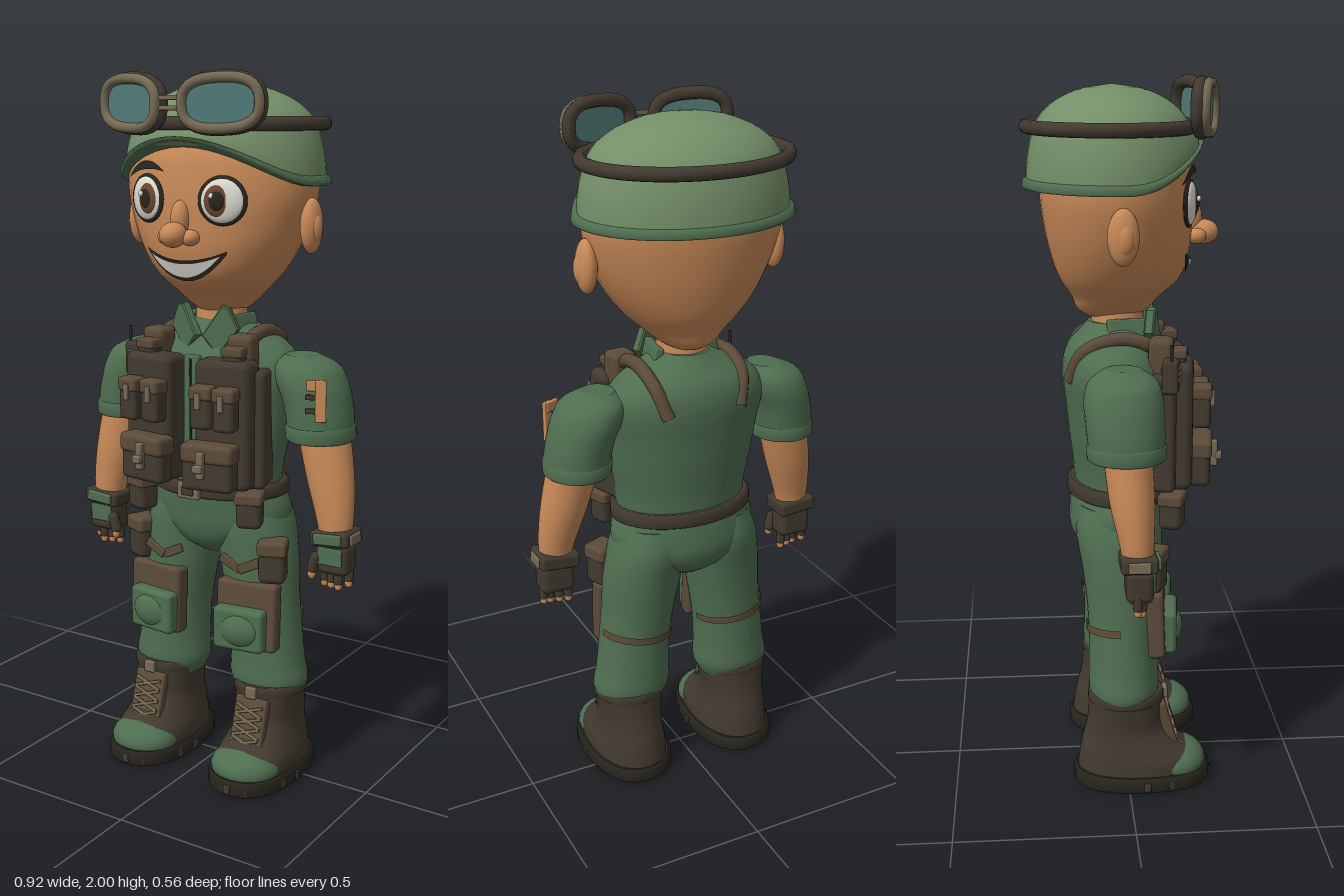
import * as THREE from 'three';
import { RoundedBoxGeometry } from 'three/addons/geometries/RoundedBoxGeometry.js';

const mat = (name, color) => Object.assign(new THREE.MeshStandardMaterial({ color }), { name });

export function createModel() {
  const model = new THREE.Group();
  model.name = 'fieldSoldier';
  const green = mat('uniformGreen', 0x4f6e50), helmetGreen = mat('helmetGreen', 0x748f68);
  const skin = mat('skin', 0xc98a58), dark = mat('darkLeather', 0x423a30), brown = mat('webbingBrown', 0x5c4b39);
  const tan = mat('tanTrim', 0x766a54), teal = mat('lensTeal', 0x517b78), white = mat('white', 0xdcdad0);
  const black = mat('black', 0x29251f), iris = mat('irisBrown', 0x6b4630);
  dark.side = brown.side = helmetGreen.side = green.side = THREE.DoubleSide;

  const add = (name, geo, m, x = 0, y = 0, z = 0, parent = model) => {
    const mesh = new THREE.Mesh(geo, m);
    mesh.name = name;
    mesh.position.set(x, y, z);
    parent.add(mesh);
    return mesh;
  };
  const box = (name, m, w, h, d, x, y, z, ry = 0, rz = 0) => {
    const b = add(name, new RoundedBoxGeometry(w, h, d, 2, Math.min(w, h, d) * 0.25), m, x, y, z);
    b.rotation.set(0, ry, rz);
    return b;
  };
  const ball = (name, m, x, y, z, rx, ry, rz, yaw = 0) => {
    const b = add(name, new THREE.SphereGeometry(1, 24, 16), m, x, y, z);
    b.scale.set(rx, ry, rz);
    b.rotation.y = yaw;
    return b;
  };
  const both = (fn) => [1, -1].forEach(fn);

  // Cross-sections are [y, cx, cz, rx, rz], listed from bottom to top
  const sampler = (rings) => {
    const f = new THREE.CubicInterpolant(new Float32Array(rings.map(r => r[0])),
      new Float32Array(rings.flatMap(r => r.slice(1))), 4, new Float32Array(4));
    return (y) => [y, ...f.evaluate(y)];
  };
  const loft = (rings, sub = 4, seg = 36, power = 1) => {
    const at = sampler(rings), list = [], pos = [], idx = [];
    rings.forEach((r, i) => {
      if (i === rings.length - 1) return list.push(r);
      for (let k = 0; k < sub; k++) list.push(k ? at(r[0] + (rings[i + 1][0] - r[0]) * k / sub) : r);
    });
    const bend = (v) => Math.sign(v) * Math.abs(v) ** power;
    const ring = ([y, cx, cz, rx, rz]) => {
      for (let j = 0; j < seg; j++) {
        const a = j / seg * Math.PI * 2;
        pos.push(cx + rx * bend(Math.cos(a)), y, cz + rz * bend(Math.sin(a)));
      }
    };
    list.forEach(ring);
    for (let i = 0; i < list.length - 1; i++) for (let j = 0; j < seg; j++) {
      const a = i * seg + j, b = i * seg + (j + 1) % seg;
      idx.push(a, a + seg, b, b, a + seg, b + seg);
    }
    [list[0], list[list.length - 1]].forEach((r, top) => {
      const base = pos.length / 3;
      ring(r);
      pos.push(r[1], r[0], r[2]);
      for (let j = 0; j < seg; j++) {
        const a = base + j, b = base + (j + 1) % seg;
        idx.push(base + seg, top ? b : a, top ? a : b);
      }
    });
    const g = new THREE.BufferGeometry();
    g.setAttribute('position', new THREE.Float32BufferAttribute(pos, 3));
    g.setIndex(idx);
    g.computeVertexNormals();
    return g;
  };

  // Head, neck and ears
  const headRings = [[1.345, 0, -.03, .05, .07], [1.36, 0, -.03, .075, .095], [1.4, 0, -.02, .122, .125],
    [1.45, 0, -.01, .175, .168], [1.52, 0, -.01, .225, .193], [1.6, 0, -.015, .262, .205],
    [1.7, 0, -.02, .285, .21], [1.8, 0, -.02, .265, .195], [1.88, 0, -.02, .19, .14]];
  add('head', loft(headRings), skin);
  const headAt = sampler(headRings);
  const faceZ = (x, y) => {
    const [, , cz, rx, rz] = headAt(y);
    return cz + rz * Math.sqrt(Math.max(0, 1 - (x / rx) ** 2));
  };
  add('neck', new THREE.CylinderGeometry(.07, .08, .14, 24), skin, 0, 1.32, -.015);
  both(s => {
    ball('ear', skin, s * .283, 1.595, -.02, .028, .075, .042);
    ball('earInner', skin, s * .3, 1.59, -.015, .016, .04, .022);
  });

  // Eyes, stacked outwards from the face
  both(s => {
    const yaw = s * .3, x = s * .12, y = 1.665, z = faceZ(x, y);
    [['eyeRim', black, .068, .066, .012, 0], ['eyeWhite', white, .061, .06, .02, 0], ['iris', iris, .04, .044, .012, .012],
      ['pupil', black, .024, .028, .01, .018], ['eyeGlint', white, .008, .008, .006, .025]].forEach(([n, m, rx, ry, rz, out], i) => {
      const glint = i === 4 ? .013 : 0;
      ball(n, m, x - s * (i > 1 ? .006 : 0) - glint, y + glint, z + out - .002, rx, ry, rz, yaw);
    });
  });

  // Nose, brow and smile
  ball('noseTip', skin, 0, 1.575, .225, .036, .034, .042);
  ball('noseBridge', skin, 0, 1.615, .19, .026, .05, .03);
  both(s => ball('nostril', skin, s * .037, 1.567, .2, .025, .022, .028));
  const faceStrip = (name, m, x0, x1, top, bottom, out) => {
    const pos = [], idx = [], n = 24;
    for (let i = 0; i <= n; i++) {
      const u = i / n * 2 - 1, x = x0 + (x1 - x0) * i / n;
      [bottom(u), top(u)].forEach(y => pos.push(x, y, faceZ(x, y) + out));
      if (i < n) idx.push(2 * i, 2 * i + 2, 2 * i + 1, 2 * i + 1, 2 * i + 2, 2 * i + 3);
    }
    const g = new THREE.BufferGeometry();
    g.setAttribute('position', new THREE.Float32BufferAttribute(pos, 3));
    g.setIndex(idx);
    g.computeVertexNormals();
    add(name, g, m);
  };
  const arc = (u) => 1 - u * u;
  faceStrip('eyebrow', black, -.2, -.05, u => 1.73 + .035 * arc(u) + .01 * u, u => 1.728 + .014 * arc(u) + .01 * u, .012);
  faceStrip('mouthLine', black, -.128, .128, u => 1.532 - .028 * arc(u), u => 1.526 - .08 * arc(u), .008);
  faceStrip('teeth', white, -.112, .112, u => 1.52 - .024 * arc(u), u => 1.518 - .062 * arc(u), .013);

  // Helmet, with its lower edge raised over the brow
  const raise = (g) => {
    const p = g.attributes.position;
    for (let i = 0; i < p.count; i++) {
      const y = p.getY(i), lift = .1 * (Math.max(0, p.getZ(i)) / .2) ** 2;
      if (y < 1.87) p.setY(i, y + lift * (1.87 - y) / .16);
    }
    g.computeVertexNormals();
    return g;
  };
  const helmetRing = (y, k) => [y, 0, -.03, .295 * k, .237 * k];
  add('helmet', raise(loft([[1.71, 1.0], [1.76, .99], [1.82, .95], [1.87, .885], [1.91, .76], [1.945, .54], [1.965, .29], [1.973, .04]]
    .map(([y, k]) => helmetRing(y, k)), 3, 48)), helmetGreen);
  add('helmetHem', raise(loft([[1.7, 1.03], [1.705, 1.055], [1.722, 1.04], [1.727, 1.0]].map(([y, k]) => helmetRing(y, k)), 1, 48)), green);
  const ringCurve = new THREE.CatmullRomCurve3(Array.from({ length: 24 }, (_, i) => {
    const a = i / 24 * Math.PI * 2;
    return new THREE.Vector3(.285 * Math.cos(a), 1.863, -.037 + .228 * Math.sin(a));
  }), true);
  add('goggleStrap', new THREE.TubeGeometry(ringCurve, 72, .019, 10, true), dark);

  // Goggles resting on the helmet
  const oval = Array.from({ length: 24 }, (_, i) => {
    const a = i / 24 * Math.PI * 2, f = (v) => Math.sign(v) * Math.abs(v) ** .75;
    return new THREE.Vector3(.105 * f(Math.cos(a)), .064 * f(Math.sin(a)), 0);
  });
  const ovalCurve = new THREE.CatmullRomCurve3(oval, true);
  const lensShape = new THREE.Shape(oval.map(p => new THREE.Vector2(p.x, p.y)));
  both(s => {
    const g = new THREE.Group();
    g.name = 'goggleEyepiece';
    g.position.set(s * .14, 1.914, .208);
    g.rotation.set(0, s * .25, s * .04);
    model.add(g);
    add('goggleFrame', new THREE.TubeGeometry(ovalCurve, 48, .018, 8, true), dark, 0, 0, -.01, g);
    add('goggleRim', new THREE.TubeGeometry(ovalCurve, 48, .014, 8, true), tan, 0, 0, .01, g);
    add('goggleLens', new THREE.ExtrudeGeometry(lensShape, { depth: .008, bevelEnabled: false }), teal, 0, 0, 0, g);
  });
  both(s => box('goggleBridge', tan, .06, .012, .014, 0, 1.915 + s * .013, .24));

  // Shirt, collar and front placket
  add('shirt', loft([[.84, 0, 0, .195, .14], [.92, 0, -.005, .2, .14], [1.0, 0, -.01, .215, .145], [1.1, 0, -.015, .23, .15],
    [1.2, 0, -.025, .242, .148], [1.26, 0, -.03, .2, .128], [1.3, 0, -.025, .125, .1], [1.33, 0, -.02, .075, .08]]), green);
  box('placket', green, .05, .36, .02, 0, 1.06, .135);
  box('placketSeam', black, .006, .34, .008, 0, 1.06, .145);
  both(s => {
    const flap = new THREE.Shape([[.008, 1.29], [.05, 1.24], [.105, 1.31], [.08, 1.365], [.062, 1.37]].map(p => new THREE.Vector2(s * p[0], p[1])));
    const c = add('collar', new THREE.ExtrudeGeometry(flap, { depth: .02, bevelSize: .004, bevelThickness: .004, bevelSegments: 1 }), green, 0, 0, .085);
    c.rotation.y = s * .3;
    box('collarSide', green, .025, .06, .12, s * .08, 1.315, .01, s * -.15, s * .25);
  });

  // Arms, gloves and fingers
  both(s => {
    add('sleeve', loft([[1.02, s * .325, -.015, .09, .1], [1.06, s * .324, -.015, .092, .103], [1.12, s * .312, -.018, .094, .106],
      [1.18, s * .29, -.02, .098, .105], [1.22, s * .275, -.02, .085, .088], [1.245, s * .26, -.02, .045, .05]]), green);
    add('sleeveCuff', loft([[1.014, s * .326, -.014, .09, .1], [1.02, s * .326, -.014, .096, .106],
      [1.052, s * .324, -.014, .096, .107], [1.058, s * .324, -.014, .09, .1]], 1), green);
    add('forearm', loft([[.74, s * .392, .012, .044, .04], [.8, s * .386, .008, .054, .047], [.9, s * .366, -.002, .068, .06],
      [1.03, s * .337, -.012, .076, .066]]), skin);
    box('gloveCuff', dark, .118, .045, .1, s * .392, .75, .012, 0, s * .08);
    box('gloveStrap', green, .085, .03, .018, s * .392, .752, .062, 0, s * .08);
    box('gloveStrap', tan, .018, .03, .06, s * .448, .752, .012, 0, s * .08);
    box('glovePalm', dark, .1, .09, .075, s * .394, .69, .014);
    box('gloveBack', green, .075, .05, .012, s * .394, .7, .05);
    for (let i = 0; i < 4; i++) {
      const x = s * (.358 + i * .025), z = .008 + (i % 3) * .007, y = .64 + (i === 3 ? .01 : 0);
      add('gloveFinger', new THREE.CapsuleGeometry(.0135, .035, 4, 10), dark, x, y, z);
      add('fingertip', new THREE.CapsuleGeometry(.011, .02, 4, 10), skin, x, y - .023, z);
    }
    const thumb = add('gloveThumb', new THREE.CapsuleGeometry(.016, .035, 4, 10), dark, s * .345, .675, .05);
    thumb.rotation.z = s * -.25;
    ball('thumbTip', skin, s * .34, .645, .052, .012, .018, .012);
  });

  // Patch on the left sleeve
  box('sleevePatch', skin, .03, .115, .012, .372, 1.14, .077, .5);
  box('sleevePatch', skin, .05, .03, .012, .358, 1.182, .08, .5);
  [1.15, 1.112].forEach(y => box('sleevePatchTab', dark, .028, .014, .01, .347, y, .088, .4));

  // Vest with pouches, straps and radio
  both(s => {
    const yaw = s * .14;
    box('vestPanel', dark, .165, .36, .09, s * .118, 1.06, .143, yaw);
    box('vestSide', dark, .06, .33, .12, s * .18, 1.045, .075, s * .3);
    box('vestTop', brown, .075, .11, .07, s * .14, 1.25, .095, yaw);
    box('topPouch', dark, .06, .075, .05, s * .14, 1.23, .14, yaw);
    box('topPouchFlap', brown, .064, .028, .054, s * .14, 1.262, .14, yaw);
    [.082, .155].forEach(x => {
      box('magazinePouch', dark, .062, .115, .05, s * x, 1.112, .208, yaw);
      box('magazineFlap', brown, .066, .04, .056, s * x, 1.155, .208, yaw);
      box('magazineTab', tan, .016, .045, .012, s * x, 1.135, .238, yaw);
    });
    box('largePouch', dark, .15, .12, .06, s * .105, .945, .21, yaw);
    box('largePouchFlap', brown, .156, .055, .07, s * .105, .99, .21, yaw);
    box('largePouchTab', tan, .022, .075, .02, s * .1, .962, .252, yaw);
    box('pouchBuckle', tan, .028, .022, .02, s * .1, .955, .264, yaw);
    const strap = new THREE.CatmullRomCurve3([[.14, 1.2, .12], [.14, 1.27, .08], [.14, 1.3, -.01], [.135, 1.265, -.115], [.11, 1.18, -.155]]
      .map(p => new THREE.Vector3(s * p[0], p[1], p[2])));
    add('shoulderStrap', new THREE.TubeGeometry(strap, 24, .02, 8), brown);
  });
  box('radio', dark, .06, .095, .045, -.205, 1.21, .115, -.2);
  for (let i = 0; i < 3; i++) box('radioGrille', tan, .038, .006, .008, -.207, 1.2 + i * .016, .139, -.2);
  add('radioAntenna', new THREE.CylinderGeometry(.004, .005, .08, 8), black, -.226, 1.26, .115);

  // Belt and hip pouches
  add('belt', loft([[.832, 0, -.005, .205, .147], [.838, 0, -.005, .215, .156], [.87, 0, -.005, .215, .156], [.876, 0, -.005, .205, .147]], 1), dark);
  box('buckle', tan, .07, .046, .02, 0, .855, .156);
  box('bucklePlate', dark, .04, .024, .01, 0, .855, .165);
  both(s => {
    box('hipPouch', dark, .072, .09, .065, s * .182, .815, .125, s * .35);
    box('hipPouchFlap', brown, .078, .035, .07, s * .182, .855, .125, s * .35);
  });

  // Trousers
  add('hips', loft([[.65, 0, -.02, .06, .07], [.68, 0, -.02, .13, .11], [.73, 0, -.02, .205, .135], [.79, 0, -.015, .222, .14], [.86, 0, -.005, .198, .14]]), green);
  both(s => {
    add('trouserLeg', loft([[.24, s * .172, -.01, .1, .085], [.28, s * .17, -.01, .117, .1], [.34, s * .165, -.01, .112, .1],
      [.45, s * .156, -.01, .108, .1], [.55, s * .143, -.01, .111, .105], [.65, s * .13, -.015, .117, .113],
      [.75, s * .116, -.02, .112, .122], [.82, s * .11, -.02, .09, .108]]), green);
    box('thighPouch', dark, .078, .12, .075, s * .222, .66, .065, s * .4);
    box('thighPouchFlap', brown, .084, .045, .08, s * .222, .703, .066, s * .4);
    [-1, 1].forEach(t => box('thighPatch', brown, .07, .026, .014, s * .13 + t * .03, .642, .095, s * .1, t * .45));

    // Knee pad over a brown backing, with torn straps behind
    const backing = box('kneeBacking', brown, .185, .2, .05, s * .155, .495, .085, s * .12);
    backing.rotation.x = -.04;
    ball('kneePadCore', green, s * .148, .462, .11, .075, .062, .052);
    box('kneePad', green, .155, .125, .055, s * .148, .462, .118, s * .12);
    const band = add('kneeStrap', new THREE.CylinderGeometry(.112, .112, .022, 20, 1, true, Math.PI * .55, Math.PI * .9), brown, s * .155, .468, -.01);
    band.scale.z = .95;
    band.rotation.z = s * .12;
  });

  // Boots
  both(s => {
    const x = s * .178;
    add('sole', loft([[0, x, .042, .12, .194], [.008, x, .042, .125, .198], [.038, x, .042, .125, .198], [.045, x, .042, .117, .19]], 1, 40, .85), black);
    add('boot', loft([[.04, x, .038, .112, .183], [.08, x, .036, .11, .176], [.12, x, .012, .1, .145], [.17, x, -.004, .092, .116],
      [.22, x, -.005, .096, .108], [.262, x, -.005, .1, .106]], 4, 36, .9), dark);
    ball('toeCap', green, x, .055, .135, .104, .06, .093);
    for (let i = 0; i < 9; i++) {
      const a = (i / 8 - .5) * Math.PI;
      box('soleTread', dark, .02, .026, .012, x + .122 * Math.sin(a), .02, .05 + .188 * Math.cos(a), a);
    }
    const tongue = box('bootTongue', brown, .105, .15, .03, x, .175, .112);
    tongue.rotation.x = -.28;
    for (let i = 0; i < 4; i++) both(t => {
      const lace = box('lace', tan, .092, .009, .009, x, .125 + i * .03, .146 - i * .009, 0, t * .32);
      lace.rotation.x = -.28;
    });
    add('ankleStrap', loft([[.25, x, -.005, .1, .104], [.254, x, -.005, .107, .11], [.278, x, -.005, .107, .11], [.282, x, -.005, .1, .104]], 1), dark);
    box('ankleBuckle', tan, .035, .034, .016, x, .266, .108);
  });
  return model;
}
